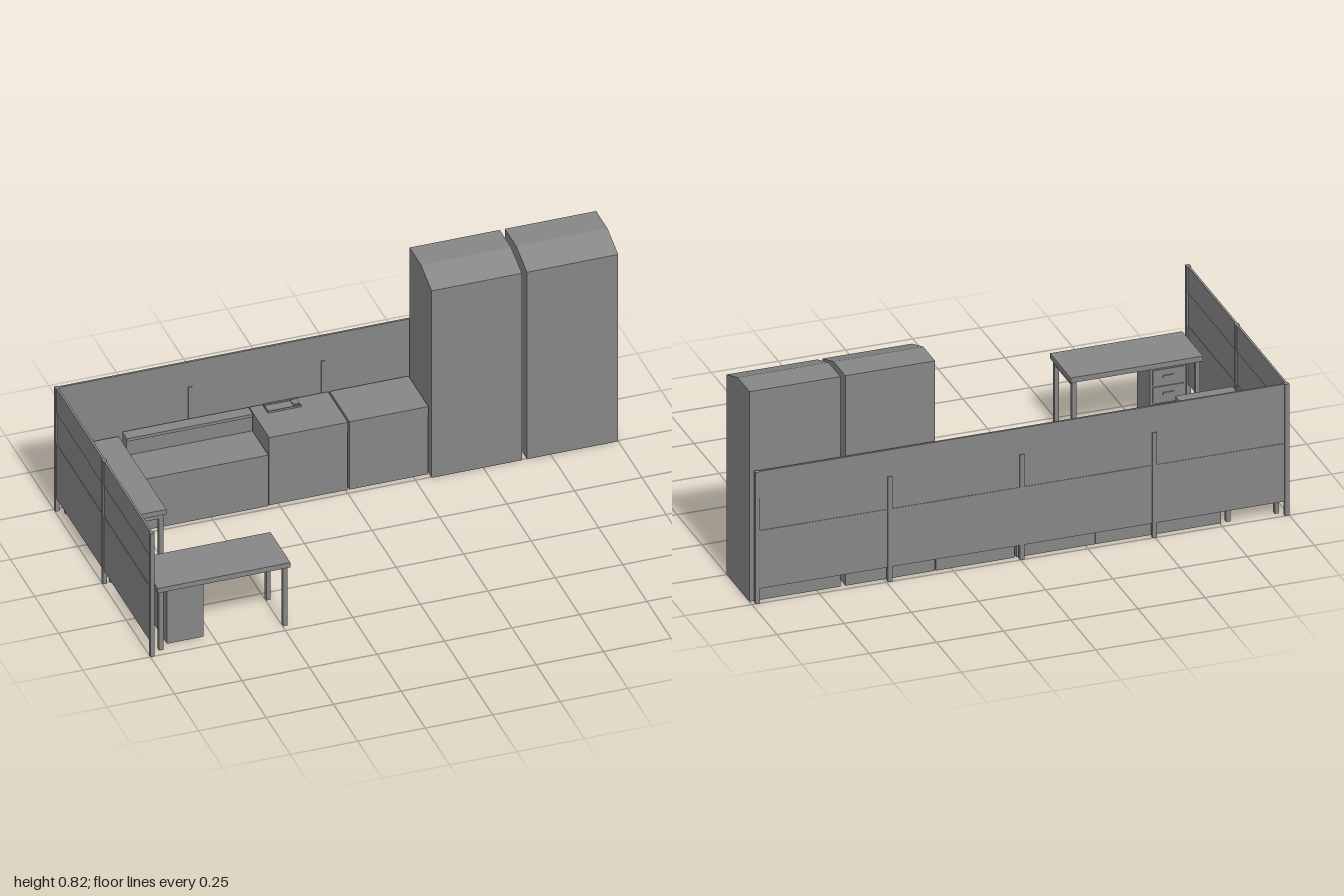
import * as THREE from 'three';

const grey = new THREE.MeshStandardMaterial({ color: 0x868686, flatShading: true });

// Box given by its lower and upper limits on each axis
function box(parent, name, x0, x1, y0, y1, z0, z1) {
  const mesh = new THREE.Mesh(new THREE.BoxGeometry(x1 - x0, y1 - y0, z1 - z0), grey);
  mesh.position.set((x0 + x1) / 2, (y0 + y1) / 2, (z0 + z1) / 2);
  mesh.name = name;
  parent.add(mesh);
}

function group(parent, name) {
  const g = new THREE.Group();
  g.name = name;
  parent.add(g);
  return g;
}

// Table with four square legs and rails between the legs at both short ends
function table(parent, name, x0, x1, z0, z1) {
  const g = group(parent, name);
  const leg = 0.016, inset = 0.008;
  box(g, 'tableTop', x0, x1, 0.245, 0.265, z0, z1);
  const xs = [x0 + inset, x1 - inset - leg];
  const zs = [z0 + inset, z1 - inset - leg];
  for (const x of xs) for (const z of zs) box(g, 'tableLeg', x, x + leg, 0, 0.245, z, z + leg);
  if (x1 - x0 > z1 - z0) {
    for (const x of xs) box(g, 'endRail', x + 0.002, x + leg - 0.002, 0.225, 0.245, zs[0] + leg, zs[1]);
  } else {
    for (const z of zs) box(g, 'endRail', xs[0] + leg, xs[1], 0.225, 0.245, z + 0.002, z + leg - 0.002);
  }
  return g;
}

// Tall cupboard with a sloped front edge on top
function cupboard(parent, x0, x1) {
  const shape = new THREE.Shape([[0.475, 0], [0.475, 0.818], [0.357, 0.818], [0.246, 0.778], [0.246, 0]]
    .map(([z, y]) => new THREE.Vector2(z, y)));
  const geo = new THREE.ExtrudeGeometry(shape, { depth: x1 - x0, bevelEnabled: false });
  geo.rotateY(Math.PI / 2);
  const mesh = new THREE.Mesh(geo, grey);
  mesh.position.x = x0;
  mesh.name = 'tallCupboard';
  parent.add(mesh);
}

export function createModel() {
  const model = new THREE.Group();
  model.name = 'officeKitchen';

  // Back partition: smooth inside, with a recessed middle band outside
  const bottom = 0.055, low = 0.281, high = 0.409, top = 0.512;
  const backWall = group(model, 'backPartition');
  const backPosts = [-0.992, -0.499, -0.006, 0.486, 0.979];
  backPosts.forEach((x, i) => {
    const end = i === 0 || i === backPosts.length - 1;
    box(backWall, 'post', x - 0.008, x + 0.008, 0, end ? top : high, -0.5, -0.484);
    if (i === 0) return;
    const x0 = backPosts[i - 1];
    box(backWall, 'panel', x0, x, bottom, top, -0.494, -0.488);
    box(backWall, 'lowerCover', x0, x, bottom, low, -0.496, -0.494);
    box(backWall, 'upperCover', x0, x, high, top, -0.496, -0.494);
  });

  // Side partition: recessed middle band on both faces
  const sideWall = group(model, 'sidePartition');
  const sidePosts = [-0.492, 0, 0.492];
  sidePosts.forEach((z, i) => {
    if (i === 0) return;
    box(sideWall, 'post', -1, -0.984, 0, top, z - 0.008, z + 0.008);
    const z0 = sidePosts[i - 1];
    box(sideWall, 'lowerPanel', -0.996, -0.988, bottom, low, z0, z);
    box(sideWall, 'middlePanel', -0.994, -0.99, low, high, z0, z);
    box(sideWall, 'upperPanel', -0.996, -0.988, high, top, z0, z);
  });

  // Tables
  table(model, 'sideTable', -0.98, -0.767, -0.48, 0.015);
  const desk = table(model, 'desk', -0.966, -0.474, 0.273, 0.48);

  // Drawer pedestal under the desk
  const pedestal = group(desk, 'drawerPedestal');
  box(pedestal, 'pedestalBody', -0.917, -0.782, 0, 0.24, 0.31, 0.44);
  for (let i = 0; i < 3; i++) {
    const y = 0.03 + i * 0.066;
    box(pedestal, 'drawerFront', -0.907, -0.792, y, y + 0.06, 0.306, 0.31);
    box(pedestal, 'drawerHandle', -0.87, -0.83, y + 0.026, y + 0.036, 0.302, 0.306);
  }

  // Low unit with a raised ledge along its back
  const lowUnit = group(model, 'lowUnit');
  box(lowUnit, 'lowBody', -0.755, -0.288, 0, 0.212, -0.475, -0.268);
  box(lowUnit, 'backLedge', -0.755, -0.288, 0.212, 0.272, -0.475, -0.433);
  box(lowUnit, 'ledgeTop', -0.755, -0.288, 0.272, 0.284, -0.475, -0.428);

  // Two counter units with worktops
  for (const x of [-0.285, 0.013]) {
    const unit = group(model, 'counterUnit');
    box(unit, 'counterBody', x, x + 0.292, 0, 0.25, -0.475, -0.272);
    box(unit, 'worktop', x, x + 0.292, 0.25, 0.284, -0.475, -0.268);
  }

  // Shallow rimmed tray with a small control on the first worktop
  const tray = group(model, 'tray');
  box(tray, 'trayBase', -0.237, -0.113, 0.284, 0.288, -0.467, -0.416);
  box(tray, 'backRim', -0.237, -0.113, 0.288, 0.293, -0.467, -0.46);
  box(tray, 'frontRim', -0.237, -0.113, 0.288, 0.291, -0.42, -0.416);
  for (const x of [-0.237, -0.117]) box(tray, 'sideRim', x, x + 0.004, 0.288, 0.291, -0.46, -0.42);
  box(tray, 'trayControl', -0.139, -0.117, 0.288, 0.293, -0.458, -0.428);

  // Tall cupboards
  cupboard(model, 0.309, 0.643);
  cupboard(model, 0.662, 1.0);

  return model;
}
